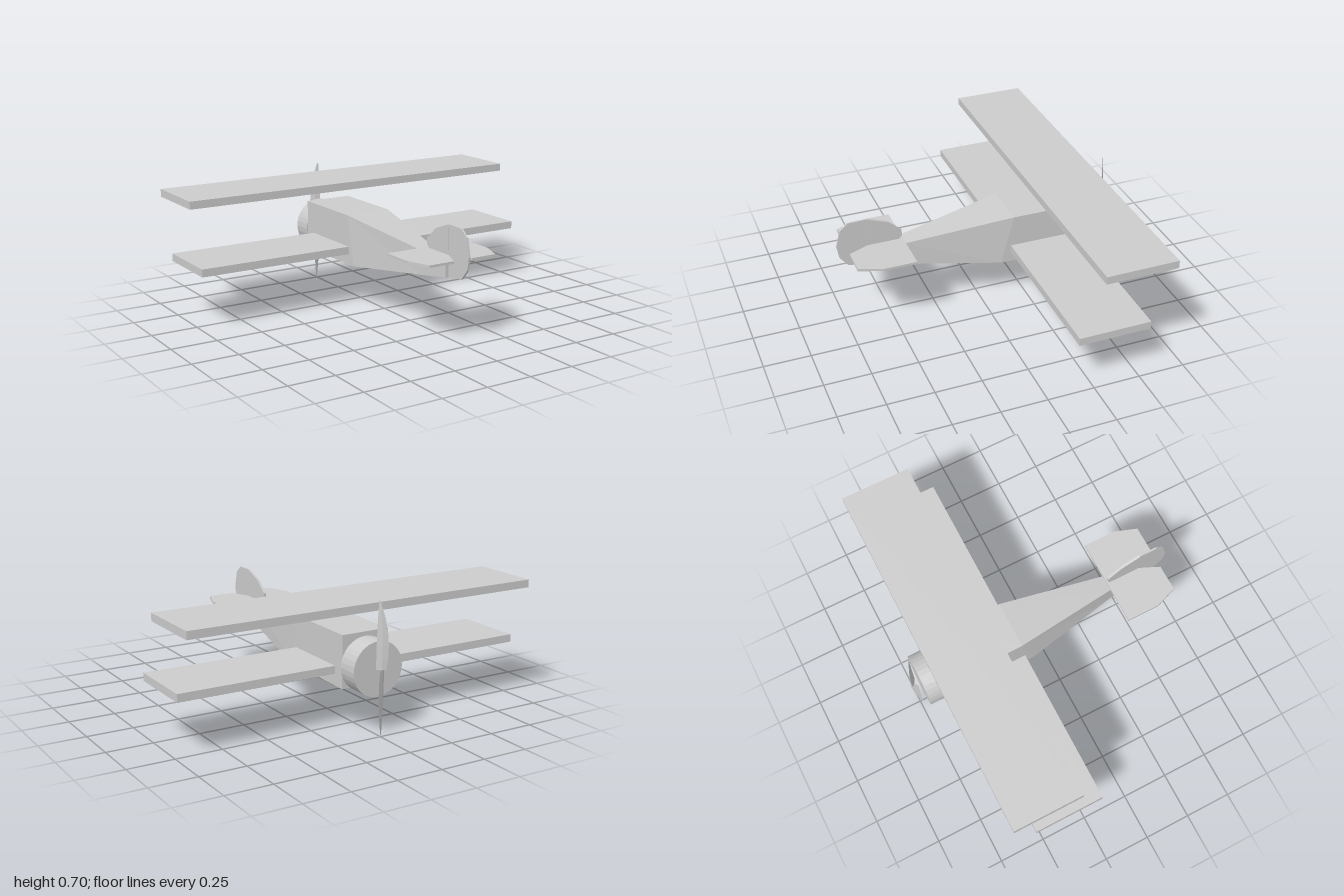
import * as THREE from 'three';

const material = new THREE.MeshStandardMaterial({ color: 0xcccccc, flatShading: true });

function part(name, geometry) {
  const mesh = new THREE.Mesh(geometry, material);
  mesh.name = name;
  return mesh;
}

// Skin a list of equal-length rings of [x, y, z] points and cap both ends.
function loft(rings) {
  const n = rings[0].length;
  const index = [];
  for (let i = 0; i < rings.length - 1; i++) {
    for (let j = 0; j < n; j++) {
      const a = i * n + j, b = i * n + (j + 1) % n;
      index.push(a, b, b + n, a, b + n, a + n);
    }
  }
  const last = (rings.length - 1) * n;
  for (let j = 1; j < n - 1; j++) {
    index.push(0, j + 1, j, last, last + j, last + j + 1);
  }
  const geometry = new THREE.BufferGeometry();
  geometry.setAttribute('position', new THREE.Float32BufferAttribute(rings.flat(2), 3));
  geometry.setIndex(index);
  const flat = geometry.toNonIndexed();
  flat.computeVertexNormals();
  return flat;
}

// Flat plate from an outline, centred through its thickness.
function plate(outline, thickness) {
  const shape = new THREE.Shape(outline.map(([x, y]) => new THREE.Vector2(x, y)));
  return new THREE.ExtrudeGeometry(shape, { depth: thickness, bevelEnabled: false })
    .translate(0, 0, -thickness / 2);
}

export function createModel() {
  const model = new THREE.Group();
  model.name = 'biplane';

  // Square-sided fuselage: half width, top y, bottom y, top z, bottom z
  const sections = [
    [0.135, 0.508, 0.229, -0.605, -0.605],
    [0.132, 0.508, 0.235, -0.17, -0.1],
    [0.045, 0.427, 0.296, 0.41, 0.41],
    [0.022, 0.425, 0.322, 0.6, 0.6],
  ];
  model.add(part('fuselage', loft(sections.map(([w, top, bottom, zt, zb]) => [
    [w, bottom, zb], [w, top, zt], [-w, top, zt], [-w, bottom, zb],
  ]))));

  // Wings, the lower one passing through the fuselage
  for (const [name, y, z] of [['upperWing', 0.643, -0.469], ['lowerWing', 0.313, -0.347]]) {
    const wing = part(name, new THREE.BoxGeometry(2, 0.042, 0.385));
    wing.position.set(0, y, z);
    model.add(wing);
  }

  // Round engine cowling
  const cowling = part('cowling', new THREE.CylinderGeometry(0.143, 0.143, 0.116, 32).rotateX(Math.PI / 2));
  cowling.position.set(0, 0.343, -0.662);
  model.add(cowling);

  // Fin and rudder, outlined in z and y
  const fin = [[0.43, 0.42], [0.6, 0.42], [0.6, 0.594], [0.49, 0.553],
    [0.415, 0.49], [0.415, 0.455], [0.43, 0.438]];
  const rudder = [[0.6, 0.322], [0.71, 0.336], [0.755, 0.39], [0.768, 0.46],
    [0.745, 0.555], [0.7, 0.592], [0.6, 0.594]];
  model.add(part('fin', plate(fin, 0.014).rotateY(-Math.PI / 2)));
  model.add(part('rudder', plate(rudder, 0.01).rotateY(-Math.PI / 2)));

  // Tailplane with a notch for the rudder, outlined in x and z
  const half = [[0.245, 0.41], [0.245, 0.59], [0.2, 0.713], [0.055, 0.713]];
  const tail = [...half, [0, 0.59], ...half.map(([x, z]) => [-x, z]).reverse()];
  const tailplane = part('tailplane', plate(tail, 0.013).rotateX(Math.PI / 2));
  tailplane.position.y = 0.431;
  model.add(tailplane);

  // Propeller: one straight edge, one curved edge, pitched section
  const radius = 0.348;
  const chords = [[0, 0.85], [0.15, 0.97], [0.35, 1], [0.55, 0.88], [0.72, 0.66],
    [0.87, 0.38], [0.96, 0.2], [1, 0.08]];
  const bladeGeometry = loft(chords.map(([t, c]) => {
    const y = t * radius;
    const sx = 0.024 - 0.012 * t * t, sz = 0.031;
    const cx = sx - 0.05 * c, cz = sz - 0.032 * c;
    const mx = (sx + cx) / 2, mz = (sz + cz) / 2;
    const nx = 0.0025 * c, nz = -0.004 * c;
    return [[sx, y, sz], [mx + nx, y, mz + nz], [cx, y, cz], [mx - nx, y, mz - nz]];
  }));
  const propeller = new THREE.Group();
  propeller.name = 'propeller';
  propeller.position.set(0, radius, -0.768);
  for (const turn of [0, Math.PI]) {
    const blade = part('propellerBlade', bladeGeometry);
    blade.rotation.z = turn;
    propeller.add(blade);
  }
  model.add(propeller);

  return model;
}
